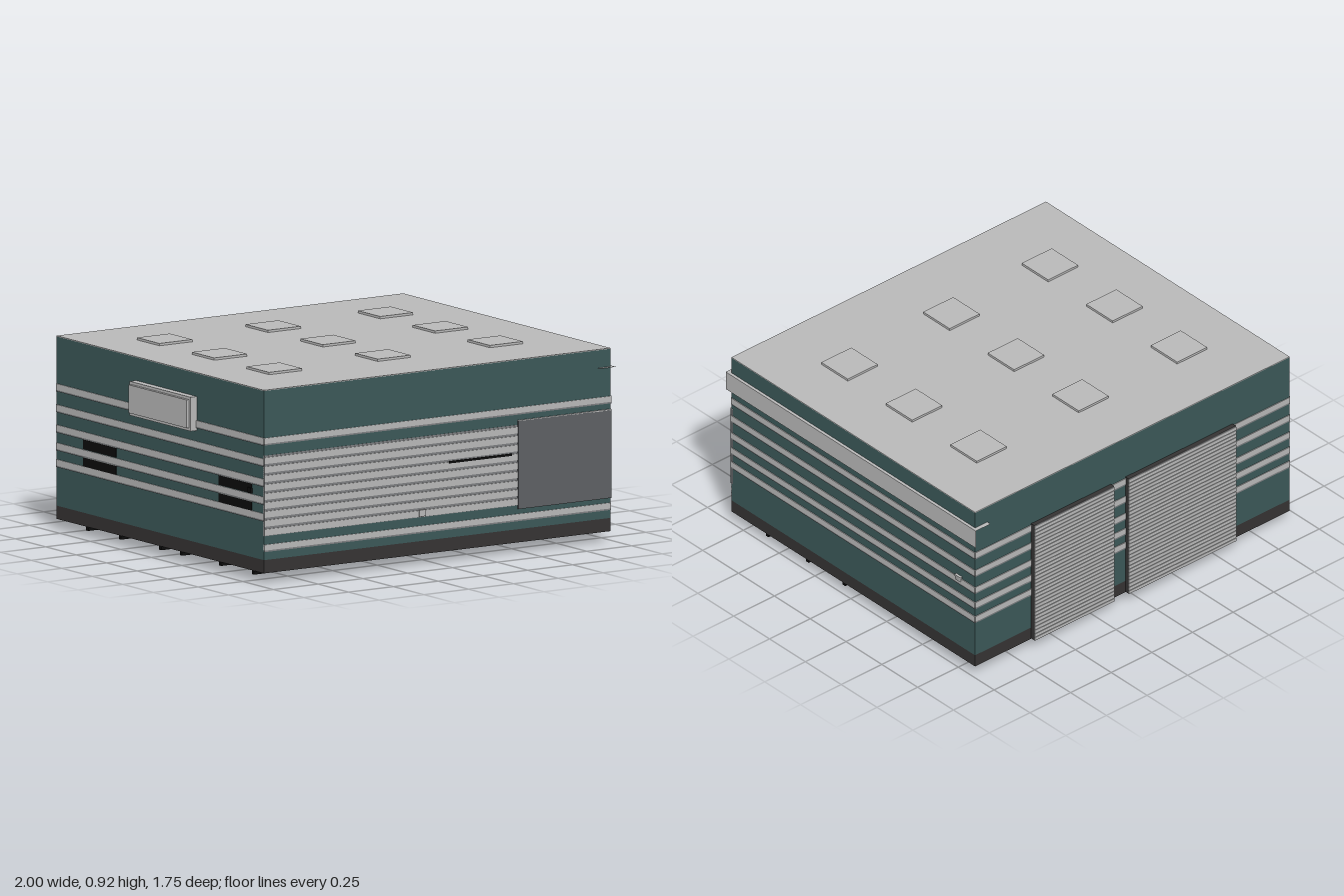
import * as THREE from 'three';

const mat = (name, color, extra = {}) => new THREE.MeshStandardMaterial({ name, color, ...extra });

export function createModel() {
  const teal = mat('teal cladding', 0x3b5858);
  const light = mat('light grey', 0xb8b8b8);
  const mid = mat('mid grey', 0x7c7e80);
  const slate = mat('slate grey', 0x5e6063);
  const dark = mat('dark plinth', 0x353333);
  const black = mat('black glazing', 0x0c0c0c);

  const model = new THREE.Group();
  model.name = 'warehouse';

  // Box given by its limits on each axis
  const box = (name, m, [x0, x1], [y0, y1], [z0, z1], parent = model) => {
    const mesh = new THREE.Mesh(new THREE.BoxGeometry(x1 - x0, y1 - y0, z1 - z0), m);
    mesh.position.set((x0 + x1) / 2, (y0 + y1) / 2, (z0 + z1) / 2);
    mesh.name = name;
    parent.add(mesh);
    return mesh;
  };
  const group = (name) => {
    const g = new THREE.Group();
    g.name = name;
    model.add(g);
    return g;
  };

  const L = -0.95, R = 0.985, B = -0.85, F = 0.85, e = 0.004;

  // Main volume: plinth, floor, walls and roof
  box('plinth', dark, [L, R], [0.048, 0.11], [B, F]);
  box('floor', slate, [L + 0.06, R - 0.06], [0.045, 0.05], [B + 0.06, F - 0.06]);
  box('walls', teal, [L, R], [0.11, 0.903], [B, F]);
  box('roof', light, [L, R], [0.903, 0.907], [B, F]);

  // Roof lights in a three by three grid
  const skylights = group('skylights');
  for (const x of [-0.613, -0.007, 0.62])
    for (const z of [-0.46, -0.01, 0.44])
      box('skylight', light, [x - 0.092, x + 0.092], [0.905, 0.918], [z - 0.092, z + 0.092], skylights);

  // Horizontal trim on the sides and back, with a darker lower lip
  const trim = group('wallTrim');
  const strip = (y, h, xs, zs) => {
    box('trimBand', light, xs, [y - h / 2 + 0.007, y + h / 2], zs, trim);
    box('trimLip', mid, xs, [y - h / 2, y - h / 2 + 0.007], zs, trim);
  };
  for (const y of [0.31, 0.388, 0.472, 0.567, 0.665]) {
    strip(y, 0.036, [R - 0.01, R + e], [B, F]);
    strip(y, 0.036, [L - e, L + 0.01], [B, F]);
    strip(y, 0.036, [L, R], [B - e, B + 0.01]);
  }
  for (const y of [0.165, 0.665]) strip(y, 0.034, [L, R], [F - 0.01, F + e]);

  // Ribbed cladding and solid panel on the front
  const front = group('frontCladding');
  box('claddingBacking', mid, [L, 0.465], [0.222, 0.6], [F - 0.01, F + 0.002], front);
  for (let i = 0; i < 9; i++) {
    const y = 0.225 + i * 0.042;
    box('claddingRib', light, [L, 0.465], [y, y + 0.03], [F - 0.01, F + 0.006], front);
  }
  box('frontSlot', black, [0.08, 0.43], [0.459, 0.469], [F, F + 0.008], front);
  box('frontLamp', light, [-0.09, -0.055], [0.227, 0.258], [F, F + 0.012], front);
  box('frontPanel', slate, [0.465, R + 0.001], [0.205, 0.618], [F - 0.012, F + 0.007]);
  box('panelTopEdge', light, [0.465, R + 0.001], [0.616, 0.622], [F - 0.012, F + 0.007]);

  // Deep fascia on the left wall: three faces, open at its ends
  const fascia = group('sideFascia');
  const face = (w, h, x, y, rx, ry, name) => {
    const m = new THREE.Mesh(new THREE.PlaneGeometry(w, h), light);
    m.rotation.set(rx, ry, 0);
    m.position.set(x, y, 0);
    m.name = name;
    fascia.add(m);
  };
  face(1.745, 0.095, 1, 0.773, 0, Math.PI / 2, 'fasciaFace');
  face(0.09, 1.745, 0.955, 0.8205, -Math.PI / 2, 0, 'fasciaTop');
  face(0.09, 1.745, 0.955, 0.7255, Math.PI / 2, 0, 'fasciaUnderside');

  // Blank sign board on the right wall
  const sign = group('signBoard');
  box('signBack', light, [-0.985, L], [0.635, 0.795], [-0.2, 0.3], sign);
  box('signFace', light, [-1, -0.985], [0.65, 0.782], [-0.187, 0.287], sign);

  // Dark glazing between the trim on the right wall
  const glazing = group('sideWindows');
  for (const [z0, z1] of [[-0.63, -0.36], [0.48, 0.75]])
    for (const y of [0.349, 0.43])
      box('sideWindow', black, [L - 0.003, L], [y - 0.021, y + 0.023], [z0, z1], glazing);

  // Roller shutters on the back, with slats
  const shutters = group('rollerShutters');
  for (const [x0, x1] of [[-0.6, 0.06], [0.15, 0.64]]) {
    box('shutterBox', dark, [x0, x1], [0.05, 0.69], [-0.872, B], shutters);
    box('shutterSheet', mid, [x0, x1], [0.05, 0.69], [-0.873, -0.872], shutters);
    for (let i = 0; i < 32; i++) {
      const y = 0.05 + i * 0.02;
      box('slat', light, [x0, x1], [y, y + 0.016], [-0.876, -0.872], shutters);
    }
  }

  // Small wall lamps on the side walls
  const lamp = new THREE.Mesh(new THREE.CylinderGeometry(0.03, 0.02, 0.028, 4, 1, false, Math.PI / 4), light);
  lamp.name = 'leftWallLamp';
  lamp.scale.x = 0.4;
  lamp.position.set(R + 0.004, 0.488, -0.74);
  model.add(lamp);
  box('rightWallLamp', black, [-0.96, L], [0.41, 0.435], [0.73, 0.755]);

  // Feet, edge clips and vents under the floor
  const under = group('underside');
  for (const x of [0.292, 0.515]) {
    for (const z of [-0.2, 0.46])
      box('foot', light, [x - 0.028, x + 0.028], [0, 0.047], [z - 0.025, z + 0.025], under);
    box('vent', black, [x - 0.035, x + 0.035], [0.04, 0.046], [-0.53, -0.505], under);
  }
  for (const z of [-0.6, -0.33, 0, 0.17, 0.49, 0.76])
    box('edgeClip', black, [L, L + 0.09], [0.03, 0.05], [z - 0.009, z + 0.009], under);
  for (const z of [0.065, 0.32, 0.6])
    box('edgeClip', black, [R - 0.09, R], [0.035, 0.05], [z - 0.009, z + 0.009], under);

  return model;
}
